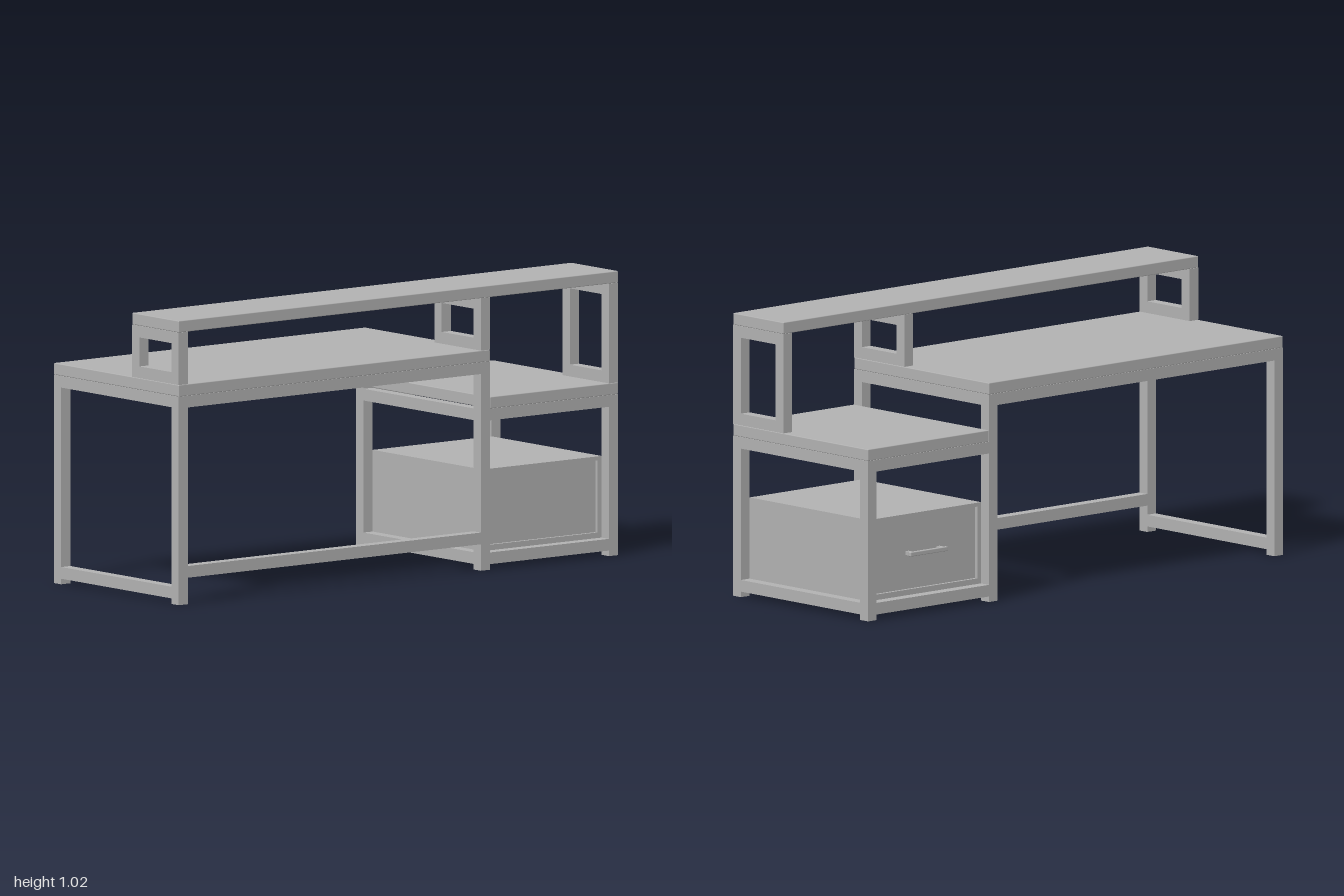
import * as THREE from 'three';
import { RoundedBoxGeometry } from 'three/addons/geometries/RoundedBoxGeometry.js';

export function createModel() {
  const model = new THREE.Group();
  model.name = 'desk';
  const grey = new THREE.MeshStandardMaterial({ color: 0xb2b2b2 });
  grey.name = 'grey';

  const T = 0.042;            // square tube size
  const Z = 0.355;            // half depth
  const X0 = -1, X1 = 0.417, X2 = 1; // left end, desk / cabinet joint, right end

  const group = (name) => {
    const g = new THREE.Group();
    g.name = name;
    model.add(g);
    return g;
  };

  // box given by its limits, optionally with softened edges
  const box = (parent, name, x0, x1, y0, y1, z0, z1, r = 0) => {
    const s = [x1 - x0, y1 - y0, z1 - z0];
    const geo = r ? new RoundedBoxGeometry(...s, 1, r) : new THREE.BoxGeometry(...s);
    const m = new THREE.Mesh(geo, grey);
    m.name = name;
    m.position.set((x0 + x1) / 2, (y0 + y1) / 2, (z0 + z1) / 2);
    parent.add(m);
  };

  // rails along z and x; the y given is the lower face
  const sideRail = (p, name, x, y, z0 = -Z + T, z1 = Z - T) => box(p, name, x, x + T, y, y + T, z0, z1);
  const longRail = (p, name, x0, x1, y, z) => box(p, name, x0, x1, y, y + T, z, z + T);

  // main desk
  const desk = group('deskFrame');
  for (const x of [X0, X1 - T]) {
    for (const z of [-Z, Z - T]) box(desk, 'deskLeg', x, x + T, 0, 0.748, z, z + T);
    sideRail(desk, 'deskTopSideRail', x, 0.706);
    sideRail(desk, 'deskBottomSideRail', x, 0.02);
  }
  for (const z of [-Z, Z - T]) longRail(desk, 'deskTopLongRail', X0 + T, X1 - T, 0.706, z);
  longRail(desk, 'stretcher', X0 + T, X1 - T, 0.095, Z - T);
  box(desk, 'deskTop', X0, X1, 0.748, 0.79, -Z, Z, 0.003);

  // lower cabinet frame
  const cabinet = group('cabinetFrame');
  for (const z of [-Z, Z - T]) {
    box(cabinet, 'cabinetLeg', X2 - T, X2, 0, 0.578, z, z + T);
    longRail(cabinet, 'cabinetTopRail', X1, X2 - T, 0.536, z);
    longRail(cabinet, 'cabinetBottomRail', X1, X2 - T, 0.02, z);
  }
  sideRail(cabinet, 'cabinetSideRailBottom', X2 - T, 0.02);
  sideRail(cabinet, 'cabinetSideRailTop', X2 - T, 0.536);
  sideRail(cabinet, 'cabinetSideRailTop', X1 - T, 0.536);
  box(cabinet, 'cabinetTop', X1, X2, 0.578, 0.62, -Z, Z, 0.003);

  // drawer case with recessed drawer front and back panel
  const drawer = group('drawerCase');
  const a = X1, b = X2 - T, w = 0.018, d = Z - T;
  box(drawer, 'caseSide', a, a + w, 0.062, 0.355, -d, d);
  box(drawer, 'caseSide', b - w, b, 0.062, 0.355, -d, d);
  box(drawer, 'caseLid', a + w, b - w, 0.341, 0.355, -d, d);
  box(drawer, 'caseFloor', a + w, b - w, 0.062, 0.082, -d, d);
  for (const s of [-1, 1]) {
    const z = s * (d - 0.02);
    box(drawer, s < 0 ? 'drawerFront' : 'backPanel', a + w, b - w, 0.082, 0.341, z - 0.008, z + 0.008);
  }

  // drawer handle
  const handle = group('drawerHandle');
  const cx = (a + b) / 2;
  box(handle, 'handleBar', cx - 0.09, cx + 0.09, 0.204, 0.22, -0.338, -0.324, 0.003);
  for (const x of [-0.075, 0.075]) {
    box(handle, 'handlePost', cx + x - 0.007, cx + x + 0.007, 0.205, 0.219, -0.326, -0.298);
  }

  // raised shelf on three window-shaped supports
  const shelf = group('shelf');
  const zs = 0.09, top = 0.978;
  for (const [x, y] of [[X0, 0.79], [X1 - T, 0.79], [X2 - T, 0.62]]) {
    for (const z of [zs, Z - T]) box(shelf, 'shelfPost', x, x + T, y, top, z, z + T);
    sideRail(shelf, 'shelfSupportBottom', x, y, zs + T);
    sideRail(shelf, 'shelfSupportTop', x, top - T, zs + T);
  }
  box(shelf, 'shelfBoard', X0, X2, top, 1.02, zs, Z, 0.003);

  return model;
}
